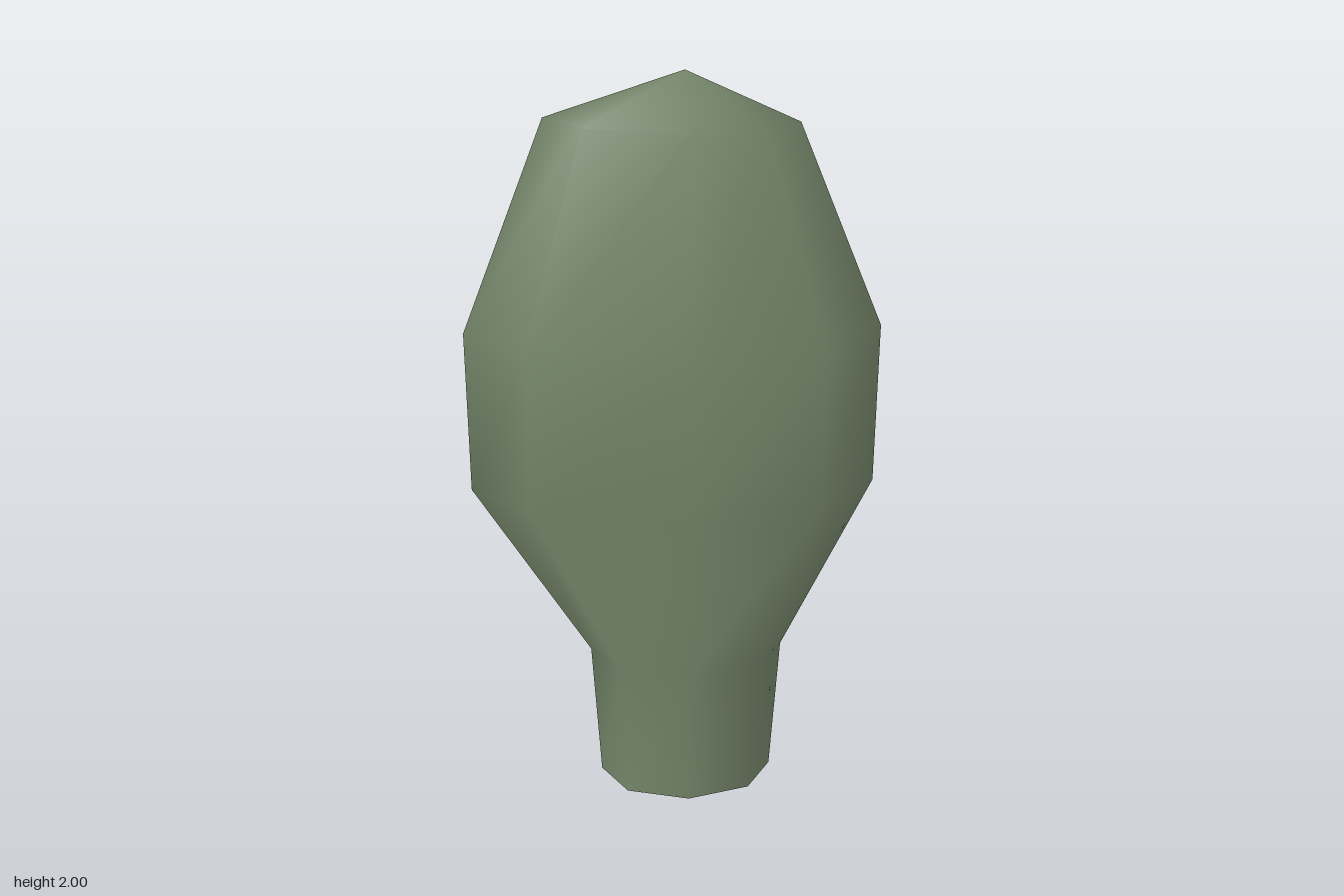
import * as THREE from 'three';

// Cross-sections: height, left x, right x, x of the broad-face ridge, half depth, tilt
const RINGS = [
  [0, -0.205, 0.27, 0.032, 0.157, 0],
  [0.4, -0.228, 0.293, 0.032, 0.162, 0],
  [0.9, -0.53, 0.525, 0.032, 0.22, 0],
  [1.34, -0.53, 0.525, 0.032, 0.22, 0],
  [1.88, -0.315, 0.305, 0.028, 0.13, -0.01],
];
const SIDES = 8;

function createPadGeometry() {
  const positions = [];
  const index = [];
  // Eight-sided rings, pointed at both edges
  for (const [y, left, right, mid, depth, tilt] of RINGS) {
    for (let i = 0; i < SIDES; i++) {
      const a = (i / SIDES) * Math.PI * 2;
      const c = Math.cos(a);
      const s = Math.sin(a);
      const centre = (left + right) / 2;
      const x = centre + c * (right - left) / 2 + (mid - centre) * (Math.abs(s) > 0.9 ? 1 : 0);
      positions.push(x, y + tilt * c, s * depth);
    }
  }
  // Walls between neighbouring rings
  for (let r = 0; r < RINGS.length - 1; r++) {
    for (let i = 0; i < SIDES; i++) {
      const a = r * SIDES + i;
      const b = r * SIDES + (i + 1) % SIDES;
      index.push(a, a + SIDES, b, b, a + SIDES, b + SIDES);
    }
  }
  // Peak; the foot stays open
  const top = (RINGS.length - 1) * SIDES;
  const apex = positions.length / 3;
  positions.push(0.025, 2, 0);
  for (let i = 0; i < SIDES; i++) index.push(top + i, apex, top + (i + 1) % SIDES);

  const geometry = new THREE.BufferGeometry();
  geometry.setAttribute('position', new THREE.Float32BufferAttribute(positions, 3));
  geometry.setIndex(index);
  geometry.computeVertexNormals();
  return geometry;
}

export function createModel() {
  const green = new THREE.MeshStandardMaterial({ color: 0x75866a, side: THREE.DoubleSide });
  green.name = 'sage green';
  const pad = new THREE.Mesh(createPadGeometry(), green);
  pad.name = 'pad';
  const model = new THREE.Group();
  model.name = 'paddleShape';
  model.add(pad);
  return model;
}
